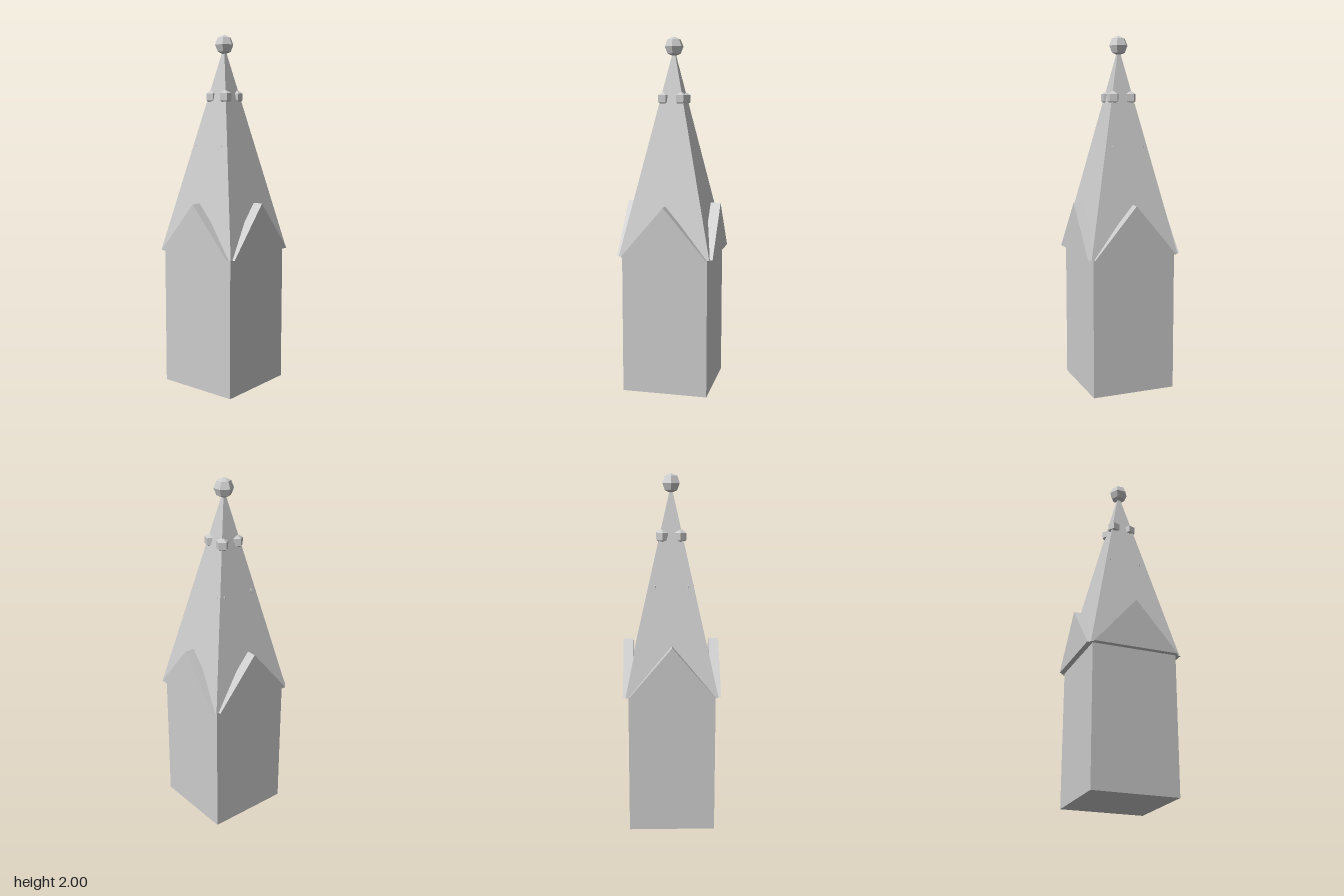
import * as THREE from 'three';

export function createModel() {
  const group = new THREE.Group();
  const material = new THREE.MeshStandardMaterial({ color: 0xcccccc, flatShading: true });

  function add(name, geometry, x = 0, y = 0, z = 0) {
    const mesh = new THREE.Mesh(geometry, material);
    mesh.name = name;
    mesh.position.set(x, y, z);
    group.add(mesh);
    return mesh;
  }

  const half = 0.242;   // half width of the shaft
  const eaves = 0.785;  // height where the spire starts
  const tip = 1.94;

  // Square shaft
  add('shaft', new THREE.BoxGeometry(half * 2, eaves, half * 2), 0, eaves / 2, 0);

  // Four-sided spire, slightly wider than the shaft
  const spire = new THREE.ConeGeometry(0.257 * Math.SQRT2, tip - eaves, 4);
  spire.rotateY(Math.PI / 4);
  add('spire', spire, 0, (eaves + tip) / 2, 0);

  // Triangular gable on each side
  const triangle = new THREE.Shape([
    new THREE.Vector2(-half, 0),
    new THREE.Vector2(half, 0),
    new THREE.Vector2(0, 0.285),
  ]);
  const gable = new THREE.ExtrudeGeometry(triangle, { depth: 0.057, bevelEnabled: false });
  gable.translate(0, 0, 0.215);
  ['front', 'left', 'back', 'right'].forEach((side, i) => {
    add(side + 'Gable', gable, 0, eaves, 0).rotation.y = (i * Math.PI) / 2;
  });

  // Crockets on the spire's edges; the lower ones are almost buried
  const crocket = new THREE.SphereGeometry(0.04, 5, 3);
  crocket.rotateY(-Math.PI / 2);
  for (const [name, offset, y] of [['upperCrocket', 0.05, 1.656], ['lowerCrocket', 0.0925, 1.37]]) {
    for (const sx of [-1, 1]) {
      for (const sz of [-1, 1]) add(name, crocket, sx * offset, y, sz * offset);
    }
  }

  // Faceted ball at the tip
  const ball = new THREE.SphereGeometry(0.055, 6, 4);
  ball.rotateY(-Math.PI / 2);
  add('finial', ball, 0, 1.945, 0);

  return group;
}
